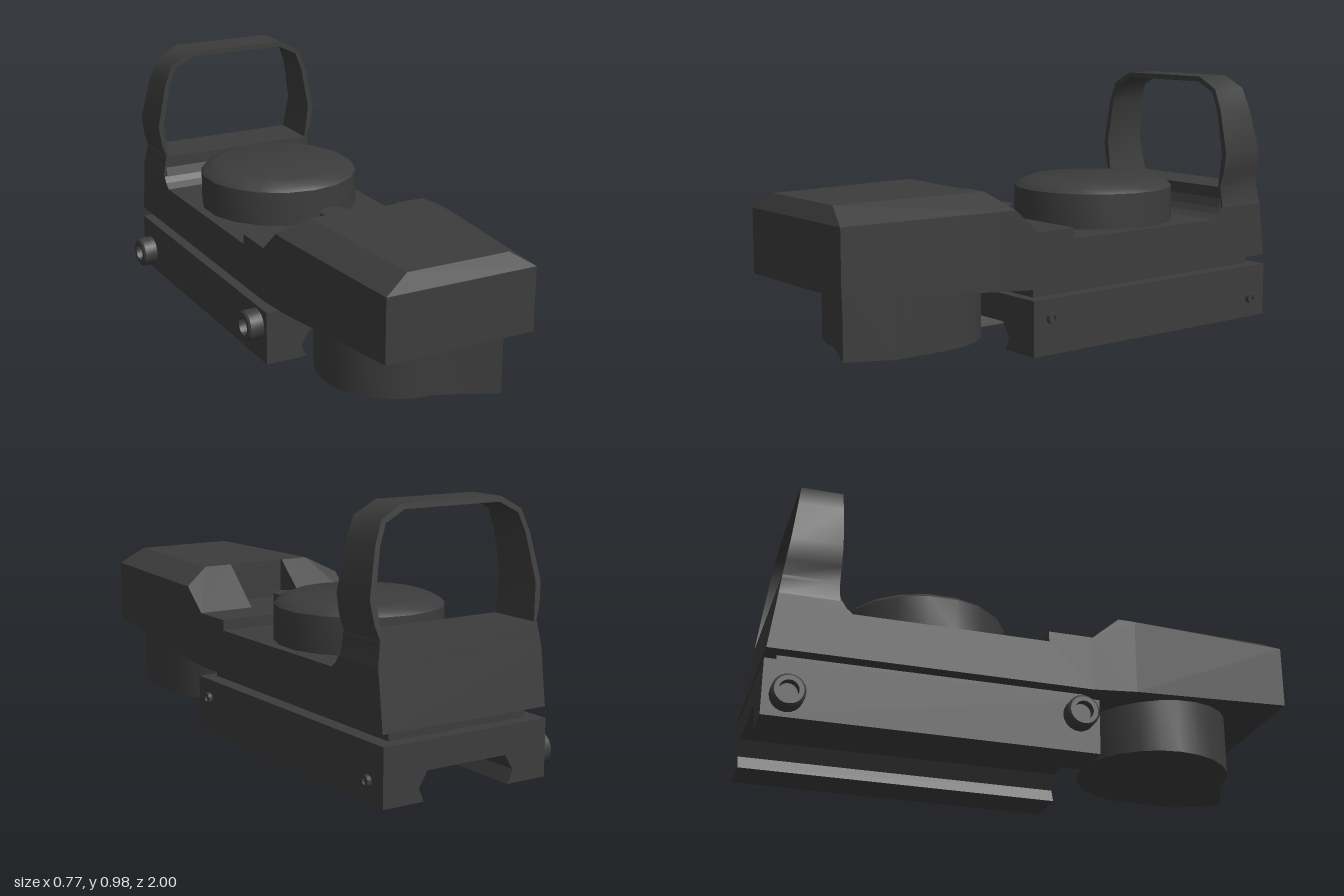
import * as THREE from 'three';
import { toCreasedNormals } from 'three/addons/utils/BufferGeometryUtils.js';
import { ConvexGeometry } from 'three/addons/geometries/ConvexGeometry.js';

const V = (x, y, z) => new THREE.Vector3(x, y, z);
const shapeOf = (pts) => new THREE.Shape(pts.map(([x, y]) => new THREE.Vector2(x, y)));
const extrude = (shape, depth) => new THREE.ExtrudeGeometry(shape, { depth, bevelEnabled: false });
// Mirrors a right-hand half outline into a closed one
const mirrored = (half) => [...half, ...half.slice().reverse().map(([x, y]) => [-x, y])];

export function createModel() {
  const root = new THREE.Group();
  const body = new THREE.Group(); // everything sits around x = 0.02
  body.position.x = 0.02;
  root.add(body);

  const black = new THREE.MeshStandardMaterial({ color: 0x3c3c3c });
  black.name = 'matte black';

  const add = (name, geometry, x = 0, y = 0, z = 0) => {
    const mesh = new THREE.Mesh(geometry, black);
    mesh.name = name;
    mesh.position.set(x, y, z);
    body.add(mesh);
    return mesh;
  };
  const box = (name, w, y0, y1, z0, z1) =>
    add(name, new THREE.BoxGeometry(w, y1 - y0, z1 - z0), 0, (y0 + y1) / 2, (z0 + z1) / 2);
  const lathe = (pts, sides) => toCreasedNormals(
    new THREE.LatheGeometry(pts.map(([r, y]) => new THREE.Vector2(r, y)), sides), 0.65);
  // Side profile given as (z, y), extruded across x
  const across = (pts, halfWidth) => {
    const g = extrude(shapeOf(pts.map(([z, y]) => [-z, y])), halfWidth * 2);
    g.rotateY(Math.PI / 2);
    return g.translate(-halfWidth, 0, 0);
  };
  const backZ = (y) => -0.9 - (0.98 - y) * 0.13; // sloping rear plane

  // Mounting rail with dovetail channel
  const rail = extrude(shapeOf(mirrored(
    [[0.165, 0.105], [0.2, 0.05], [0.18, 0], [0.345, 0], [0.345, 0.21]]).slice(0)), 1.22);
  add('mountingRail', rail, 0, 0, -1);
  box('spacer', 0.58, 0.2, 0.26, -0.95, 0.18);

  // Main deck with step and rear base
  add('deck', across([[backZ(0.25), 0.25], [0.2, 0.25], [0.2, 0.46], [0.03, 0.46], [0.03, 0.42],
    [-0.7, 0.42], [-0.725, 0.44], [-0.74, 0.465], [backZ(0.465), 0.465]], 0.345));
  add('hoodBase', across([[backZ(0.46), 0.46], [-0.738, 0.46], [-0.75, 0.5], [-0.75, 0.545],
    [backZ(0.545), 0.545]], 0.333));

  // Hood frame, its back following the rear plane
  const outer = [[0.345, 0.465], [0.33, 0.55], [0.348, 0.6], [0.36, 0.68], [0.325, 0.85],
    [0.293, 0.933], [0.205, 0.98]];
  const inner = [[0.318, 0.54], [0.337, 0.68], [0.305, 0.85], [0.277, 0.92], [0.198, 0.96]];
  const frame = shapeOf(mirrored(outer));
  frame.holes.push(new THREE.Path(mirrored(inner).map(([x, y]) => new THREE.Vector2(x, y))));
  const hood = extrude(frame, 1);
  const p = hood.attributes.position;
  for (let i = 0; i < p.count; i++) p.setZ(i, p.getZ(i) > 0.5 ? -0.75 : backZ(p.getY(i)));
  hood.deleteAttribute('normal');
  add('hoodFrame', toCreasedNormals(hood, 0.75));

  // Emitter head: tapered, chamfered nose
  const nose = [];
  for (const s of [-1, 1]) {
    nose.push(V(s * 0.345, 0.263, 0.37), V(s * 0.345, 0.55, 0.37), V(s * 0.235, 0.61, 0.37),
      V(s * 0.295, 0.31, 1), V(s * 0.295, 0.55, 1), V(s * 0.2, 0.61, 0.97));
  }
  add('head', new ConvexGeometry(nose));

  // Sloped shoulders either side of the rear notch
  for (const s of [-1, 1]) {
    const pts = [];
    for (const x of [0.12, 0.345]) {
      pts.push(V(s * x, 0.25, 0.2), V(s * x, 0.46, 0.2), V(s * x, 0.46, 0.22), V(s * x, 0.263, 0.37));
    }
    for (const x of [0.12, 0.235]) pts.push(V(s * x, 0.61, 0.36), V(s * x, 0.61, 0.37));
    pts.push(V(s * 0.345, 0.55, 0.304), V(s * 0.345, 0.55, 0.37));
    add(s > 0 ? 'leftShoulder' : 'rightShoulder', new ConvexGeometry(pts));
  }
  add('notchFloor', across([[0.2, 0.25], [0.37, 0.263], [0.37, 0.46], [0.2, 0.46]], 0.12));

  // Housing under the head: round with one pointed corner
  const plan = [[0, 0.85], [0.21, 0.945], [0.29, 0.78], [0.29, 0.7]];
  for (let i = 0; i <= 18; i++) {
    const a = -i * Math.PI * 1.5 / 18;
    plan.push([0.29 * Math.cos(a), 0.56 + 0.29 * Math.sin(a)]);
  }
  plan.pop();
  const housing = extrude(shapeOf(plan.map(([x, z]) => [x, -z])), 0.26);
  housing.rotateX(-Math.PI / 2);
  housing.deleteAttribute('normal');
  add('lowerHousing', toCreasedNormals(housing, 0.35), 0, 0.07, 0);

  // Dial and button on the deck
  add('dial', lathe([[0.313, 0], [0.313, 0.135], [0.295, 0.152], [0.25, 0.17], [0, 0.17]], 18),
    0, 0.42, -0.365);
  add('button', new THREE.CylinderGeometry(0.058, 0.058, 0.08, 20), 0, 0.48, 0.12);

  // Clamp knobs on one side, screw ends on the other
  for (const [y, z] of [[0.138, 0.14], [0.078, -0.915]]) {
    const knob = add('clampKnob', lathe([[0.06, 0], [0.06, 0.055], [0.052, 0.062], [0.035, 0.062],
      [0.035, 0.03], [0, 0.03]], 20), -0.343, y, z);
    knob.rotation.z = Math.PI / 2;
    const screw = add('screwEnd', lathe([[0.021, 0], [0.021, 0.017], [0.012, 0.017],
      [0.012, 0.008], [0, 0.008]], 14), 0.344, y, z);
    screw.rotation.z = -Math.PI / 2;
  }
  return root;
}
